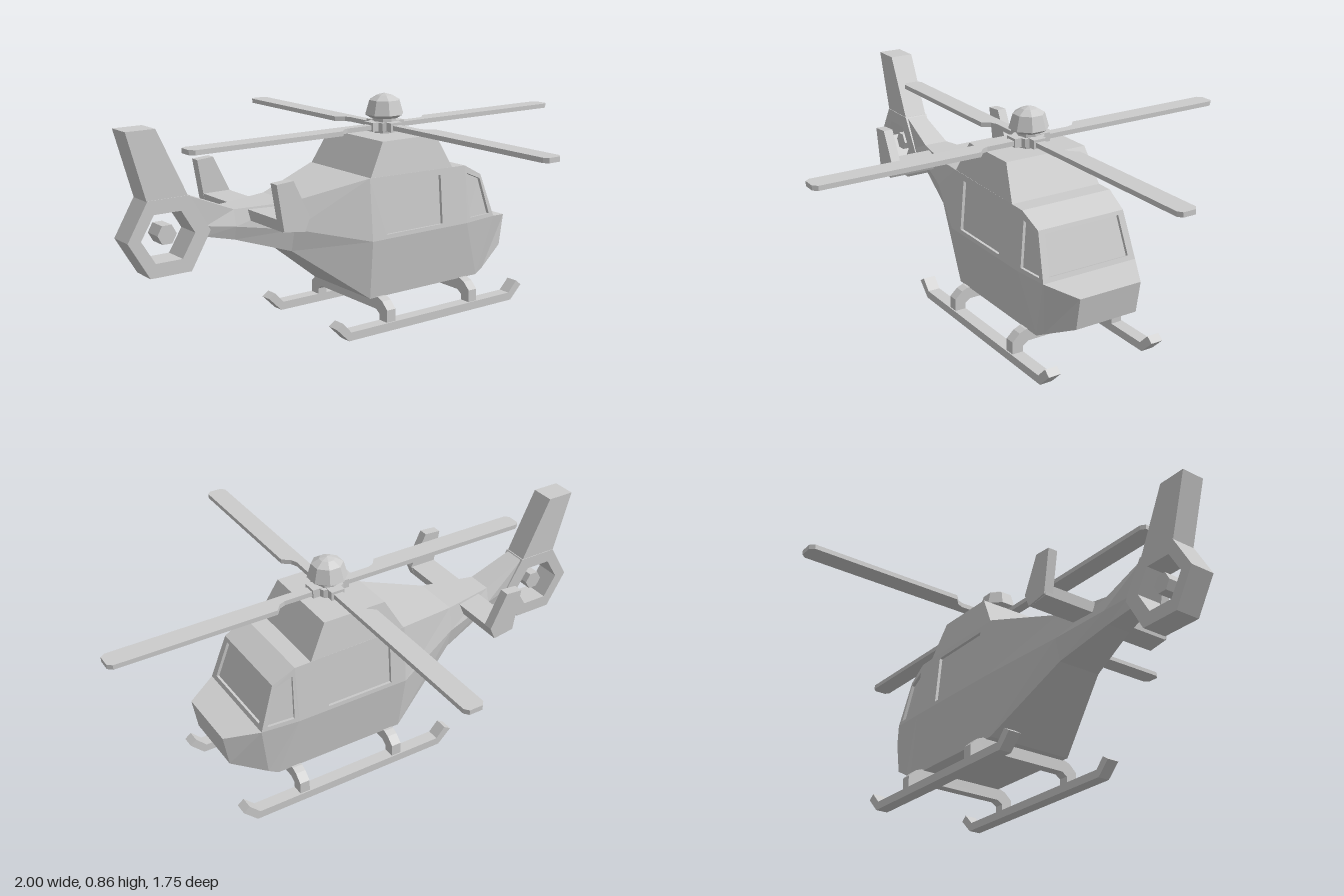
import * as THREE from 'three';

const mat = new THREE.MeshStandardMaterial({ color: 0xcccccc, flatShading: true });

function add(parent, name, geometry) {
  const mesh = new THREE.Mesh(geometry, mat);
  mesh.name = name;
  parent.add(mesh);
  return mesh;
}

// Flat outline extruded symmetrically in z
function slab(points, depth, hole) {
  const shape = new THREE.Shape(points.map(p => new THREE.Vector2(...p)));
  if (hole) shape.holes.push(new THREE.Path(hole.map(p => new THREE.Vector2(...p))));
  return new THREE.ExtrudeGeometry(shape, { depth, bevelEnabled: false }).translate(0, 0, -depth / 2);
}

// Faceted loft through closed rings; chosen panels ("ring,side") get a recessed window
function loft(rings, windows = {}) {
  const pos = [];
  const tri = (a, b, c) => {
    const area = b.clone().sub(a).cross(c.clone().sub(a)).length();
    if (area > 1e-7) for (const p of [a, b, c]) pos.push(p.x, p.y, p.z);
  };
  const quad = (a, b, c, d) => { tri(a, b, c); tri(a, c, d); };
  const recess = (q, [u0, u1, v0, v1]) => {
    const [a, b, c, d] = q;
    const at = (u, v) => a.clone().lerp(b, u).lerp(d.clone().lerp(c, u), v);
    const inward = c.clone().sub(a).cross(d.clone().sub(b)).normalize().multiplyScalar(-0.012);
    const rim = [at(u0, v0), at(u1, v0), at(u1, v1), at(u0, v1)];
    const pane = rim.map(p => p.clone().add(inward));
    for (let i = 0; i < 4; i++) {
      const j = (i + 1) % 4;
      quad(q[i], q[j], rim[j], rim[i]);
      quad(rim[i], rim[j], pane[j], pane[i]);
    }
    quad(...pane);
  };
  const n = rings[0].length;
  for (let i = 0; i < rings.length - 1; i++) {
    for (let k = 0; k < n; k++) {
      const l = (k + 1) % n;
      const q = [rings[i][k], rings[i + 1][k], rings[i + 1][l], rings[i][l]];
      const win = windows[`${i},${k}`];
      if (win) recess(q, win); else quad(...q);
    }
  }
  const first = rings[0], last = rings[rings.length - 1];
  for (let k = 1; k < n - 1; k++) {
    tri(first[0], first[k], first[k + 1]);
    tri(last[0], last[k + 1], last[k]);
  }
  const g = new THREE.BufferGeometry();
  g.setAttribute('position', new THREE.Float32BufferAttribute(pos, 3));
  g.computeVertexNormals();
  return g;
}

const V = (x, y, z) => new THREE.Vector3(x, y, z);

function hexagon(cx, cy, rx, ry) {
  return [[1, 0], [0.5, 1], [-0.5, 1], [-1, 0], [-0.5, -1], [0.5, -1]]
    .map(([x, y]) => [cx + x * rx, cy + y * ry]);
}

function createModel() {
  const model = new THREE.Group();
  model.name = 'helicopter';

  // Fuselage stations from tail to nose: bottom, waist and shoulder as [x, y, half width]
  const stations = [
    [[-0.70, 0.425, 0.035], [-0.70, 0.465, 0.045], [-0.77, 0.585, 0.04]],
    [[-0.59, 0.40, 0.05], [-0.59, 0.45, 0.065], [-0.59, 0.51, 0.05]],
    [[-0.375, 0.33, 0.09], [-0.375, 0.415, 0.11], [-0.375, 0.515, 0.095]],
    [[-0.085, 0.115, 0.18], [-0.095, 0.345, 0.21], [-0.095, 0.58, 0.19]],
    [[0.45, 0.115, 0.18], [0.37, 0.345, 0.21], [0.37, 0.572, 0.19]],
    [[0.488, 0.135, 0.175], [0.52, 0.35, 0.2], [0.46, 0.525, 0.183]],
    [[0.488, 0.135, 0.175], [0.52, 0.35, 0.2], [0.52, 0.35, 0.2]],
    [[0.622, 0.2, 0.13], [0.642, 0.325, 0.13], [0.642, 0.325, 0.13]],
  ];
  const rings = stations.map(s => [
    ...s.map(([x, y, z]) => V(x, y, z)),
    ...s.slice().reverse().map(([x, y, z]) => V(x, y, -z)),
  ]);
  add(model, 'fuselage', loft(rings, {
    '3,1': [0.14, 0.73, 0.07, 0.9], '3,3': [0.14, 0.73, 0.1, 0.93],
    '4,1': [0.12, 0.86, 0.08, 0.88], '4,3': [0.12, 0.86, 0.12, 0.92],
    '5,2': [0.08, 0.9, 0.07, 0.93],
  }));

  // Engine cowl on the roof
  const level = (x0, x1, y, z) => [V(x1, y, -z), V(x1, y, z), V(x0, y, z), V(x0, y, -z)];
  add(model, 'engineCowl', loft([
    level(-0.095, 0.305, 0.572, 0.19), level(-0.02, 0.235, 0.705, 0.17),
  ]));

  // Tail: shrouded fan and fin
  add(model, 'fanShroud', slab(hexagon(-0.842, 0.45, 0.158, 0.135), 0.1, hexagon(-0.848, 0.45, 0.103, 0.085)));
  add(model, 'tailFin', slab([[-0.922, 0.58], [-0.765, 0.58], [-0.88, 0.825], [-0.99, 0.825]], 0.095));
  add(model, 'fanHub', slab(hexagon(-0.845, 0.455, 0.037, 0.033), 0.07));

  // Horizontal stabiliser with end plates
  add(model, 'stabiliser', slab([[-0.535, 0.465], [-0.45, 0.455], [-0.43, 0.505], [-0.54, 0.505]], 0.56));
  const plate = [[-0.535, 0.468], [-0.45, 0.455], [-0.428, 0.505], [-0.495, 0.64], [-0.563, 0.635]];

  // Landing gear and end plates, mirrored left and right
  const skid = [[-0.235, 0], [0.58, 0], [0.635, 0.055], [0.61, 0.075], [0.568, 0.032],
    [-0.225, 0.032], [-0.262, 0.073], [-0.29, 0.055]];
  for (const side of [1, -1]) {
    add(model, 'endPlate', slab(plate, 0.038)).position.z = side * 0.268;
    add(model, 'skid', slab(skid, 0.05)).position.z = side * 0.225;
  }
  const half = [[0.2, 0.02], [0.245, 0.02], [0.245, 0.08], [0.215, 0.108], [0.19, 0.118]];
  const inner = [[0.178, 0.07], [0.2, 0.055]];
  const arch = [...half, ...half.slice().reverse().map(([x, y]) => [-x, y]),
    ...inner.slice().reverse().map(([x, y]) => [-x, y]), ...inner];
  for (const x of [-0.035, 0.375]) {
    add(model, 'skidStrut', slab(arch, 0.04).rotateY(Math.PI / 2)).position.x = x;
  }

  // Main rotor
  const rotor = new THREE.Group();
  rotor.name = 'mainRotor';
  rotor.position.x = 0.12;
  model.add(rotor);
  add(rotor, 'rotorMast', new THREE.CylinderGeometry(0.045, 0.045, 0.08, 8).translate(0, 0.74, 0));
  add(rotor, 'rotorHub', new THREE.CylinderGeometry(0.06, 0.06, 0.03, 8).translate(0, 0.732, 0));
  const dome = [[0, 0.762], [0.055, 0.762], [0.076, 0.775], [0.06, 0.83], [0.03, 0.848], [0, 0.856]];
  add(rotor, 'rotorCap', new THREE.LatheGeometry(dome.map(p => new THREE.Vector2(...p)), 8)
    .rotateY(Math.PI / 8));
  const blade = [[0, -0.018], [0.86, -0.018], [0.877, -0.005], [0.877, 0.045], [0.86, 0.06],
    [0.24, 0.06], [0.215, 0.03], [0.19, 0.02], [0, 0.02]];
  for (let i = 0; i < 4; i++) {
    const arm = new THREE.Group();
    arm.name = 'rotorArm';
    arm.rotation.y = i * Math.PI / 2;
    rotor.add(arm);
    add(arm, 'rotorBlade', slab(blade, 0.018).rotateX(-Math.PI / 2).translate(0, 0.73, 0));
    add(arm, 'bladeClamp', new THREE.BoxGeometry(0.04, 0.034, 0.055).translate(0.056, 0.732, 0));
  }
  return model;
}

export { createModel };
